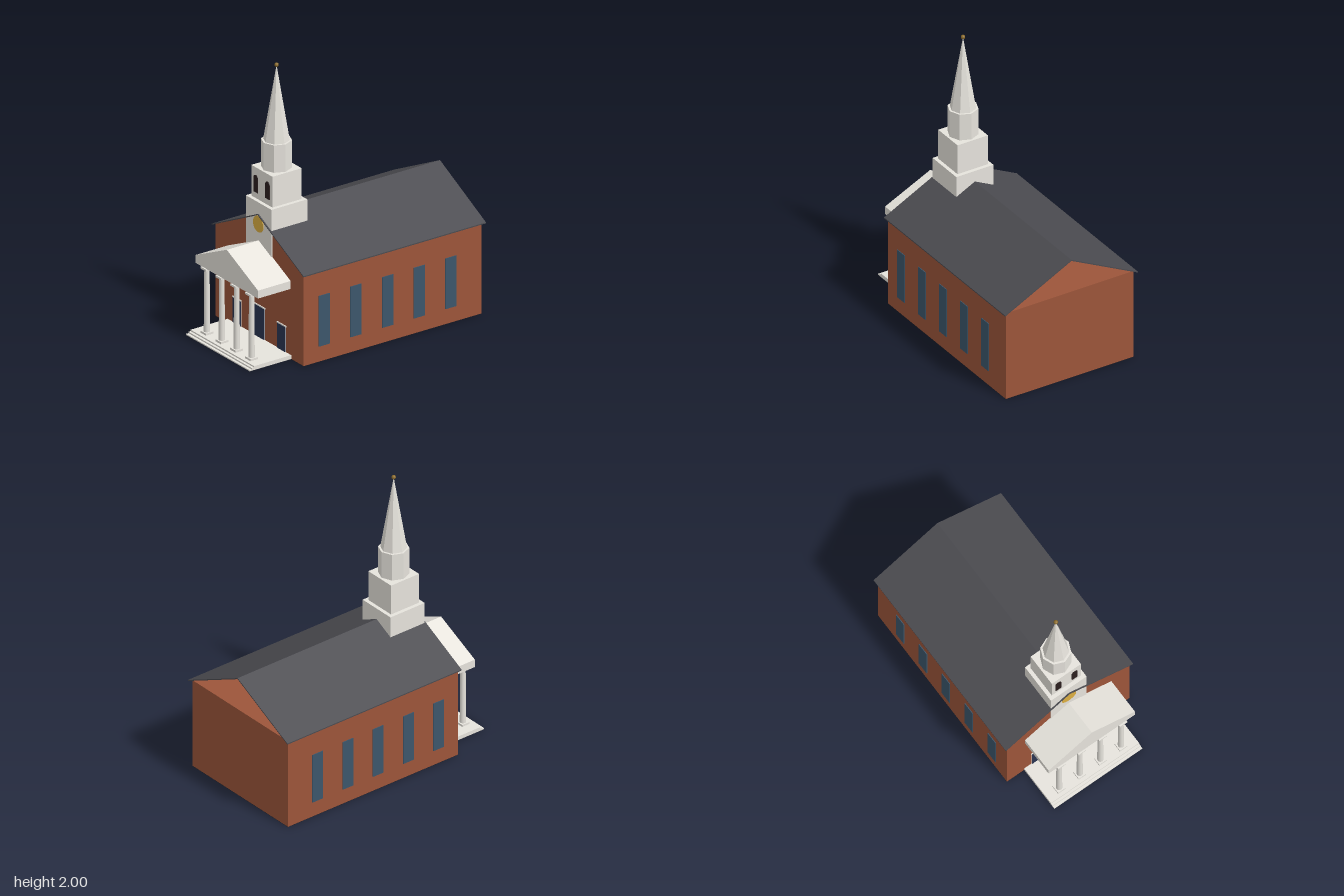
import * as THREE from 'three';

const mat = (name, color) => {
  const m = new THREE.MeshStandardMaterial({ color });
  m.name = name;
  return m;
};

export function createModel() {
  const model = new THREE.Group();
  model.name = 'church';

  const brick = mat('brick', 0x9c553a);
  const white = mat('whitePaint', 0xe6e3dc);
  const slate = mat('slate', 0x4b4b50);
  const glass = mat('windowGlass', 0x3c566b);
  const doorBlue = mat('doorBlue', 0x2a3552);
  const dark = mat('darkLouver', 0x2b1f1f);
  const gold = mat('gold', 0xdcae42);
  const bronze = mat('agedBronze', 0x8c6c2c);

  const add = (name, geometry, material, x = 0, y = 0, z = 0, parent = model) => {
    const mesh = new THREE.Mesh(geometry, material);
    mesh.name = name;
    mesh.position.set(x, y, z);
    parent.add(mesh);
    return mesh;
  };
  // Box given by its limits on every axis
  const block = (name, material, x0, x1, y0, y1, z0, z1, parent = model) =>
    add(name, new THREE.BoxGeometry(x1 - x0, y1 - y0, z1 - z0), material,
      (x0 + x1) / 2, (y0 + y1) / 2, (z0 + z1) / 2, parent);
  // Outline in x and y pushed from z0 to z1
  const prism = (name, material, points, z0, z1) => {
    const shape = new THREE.Shape(points.map(([x, y]) => new THREE.Vector2(x, y)));
    const geometry = new THREE.ExtrudeGeometry(shape, { depth: z1 - z0, bevelEnabled: false });
    return add(name, geometry, material, 0, 0, z0);
  };

  // Nave: brick hall, front gable and a thin roof that is open at the rear
  block('hallUnderside', dark, -0.505, 0.505, 0, 0.002, -0.89, 0.57);
  block('hallWalls', brick, -0.505, 0.505, 0.002, 0.67, -0.89, 0.57);
  prism('frontGable', brick, [[-0.505, 0.67], [0.505, 0.67], [0, 0.926]], 0.55, 0.57);
  prism('roof', slate, [[-0.525, 0.662], [0, 0.925], [0.525, 0.662],
    [0.525, 0.67], [0, 0.933], [-0.525, 0.67]], -0.912, 0.586);

  // Five tall windows along each side
  for (const side of [-1, 1]) {
    for (let i = 0; i < 5; i++) {
      add('sideWindow', new THREE.BoxGeometry(0.008, 0.37, 0.09), glass,
        side * 0.506, 0.298, 0.403 - i * 0.26);
    }
  }

  // Doors with slim white surrounds and a wider header
  const door = (name, x, halfWidth, top) => {
    const group = new THREE.Group();
    group.name = name;
    model.add(group);
    block('doorFrame', white, x - halfWidth - 0.003, x + halfWidth + 0.003,
      0.03, top, 0.568, 0.573, group);
    block('doorHeader', white, x - halfWidth - 0.006, x + halfWidth + 0.006,
      top, top + 0.009, 0.568, 0.576, group);
    block('doorLeaf', doorBlue, x - halfWidth, x + halfWidth, 0.03, top, 0.57, 0.576, group);
  };
  door('mainDoor', 0, 0.06, 0.256);
  door('leftDoor', 0.255, 0.046, 0.213);
  door('rightDoor', -0.255, 0.046, 0.213);

  // Portico floor and steps
  block('porticoUnderside', slate, -0.363, 0.363, 0, 0.002, 0.57, 0.912);
  block('porticoFloor', white, -0.363, 0.363, 0.002, 0.03, 0.57, 0.875);
  block('upperStep', white, -0.363, 0.363, 0.002, 0.02, 0.875, 0.893);
  block('lowerStep', white, -0.363, 0.363, 0.002, 0.01, 0.893, 0.912);

  // Columns with square bases and capitals
  for (const x of [-0.255, -0.085, 0.085, 0.255]) {
    const column = new THREE.Group();
    column.name = 'column';
    column.position.set(x, 0, 0.818);
    model.add(column);
    add('columnBase', new THREE.BoxGeometry(0.062, 0.015, 0.062), white, 0, 0.0375, 0, column);
    add('columnShaft', new THREE.CylinderGeometry(0.018, 0.022, 0.455, 16), white, 0, 0.2725, 0, column);
    add('columnCapital', new THREE.BoxGeometry(0.062, 0.014, 0.062), white, 0, 0.506, 0, column);
  }

  // Pediment
  prism('pediment', white, [[-0.356, 0.512], [0.356, 0.512], [0.356, 0.57],
    [0, 0.738], [-0.356, 0.57]], 0.57, 0.838);

  // Steeple: two square stages, an octagonal lantern and a spire
  const steepleZ = 0.43;
  block('towerBase', white, -0.147, 0.147, 0.6, 1.015, 0.283, 0.577);
  block('belfry', white, -0.12, 0.12, 1.015, 1.24, 0.31, 0.55);
  const faceted = (geometry) => {
    const flat = geometry.toNonIndexed();
    flat.computeVertexNormals();
    return flat;
  };
  add('lantern', faceted(new THREE.CylinderGeometry(0.105, 0.105, 0.2, 8)),
    white, 0, 1.34, steepleZ);
  add('spire', faceted(new THREE.ConeGeometry(0.09, 0.545, 8)),
    white, 0, 1.7125, steepleZ);
  add('finialBall', new THREE.SphereGeometry(0.015, 16, 12), bronze, 0, 1.985, steepleZ);

  // Arched belfry openings
  for (const x of [-0.067, 0.067]) {
    const arch = new THREE.Shape();
    arch.moveTo(-0.023, 0);
    arch.lineTo(0.023, 0);
    arch.lineTo(0.023, 0.102);
    arch.absarc(0, 0.102, 0.023, 0, Math.PI, false);
    arch.closePath();
    add('belfryOpening', new THREE.ExtrudeGeometry(arch,
      { depth: 0.008, bevelEnabled: false, curveSegments: 8 }), dark, x, 1.06, 0.547);
  }

  // Round gold disc on the tower front
  const disc = add('roundDisc', new THREE.CylinderGeometry(0.058, 0.058, 0.008, 32), gold, 0, 0.858, 0.578);
  disc.rotation.x = Math.PI / 2;

  return model;
}
